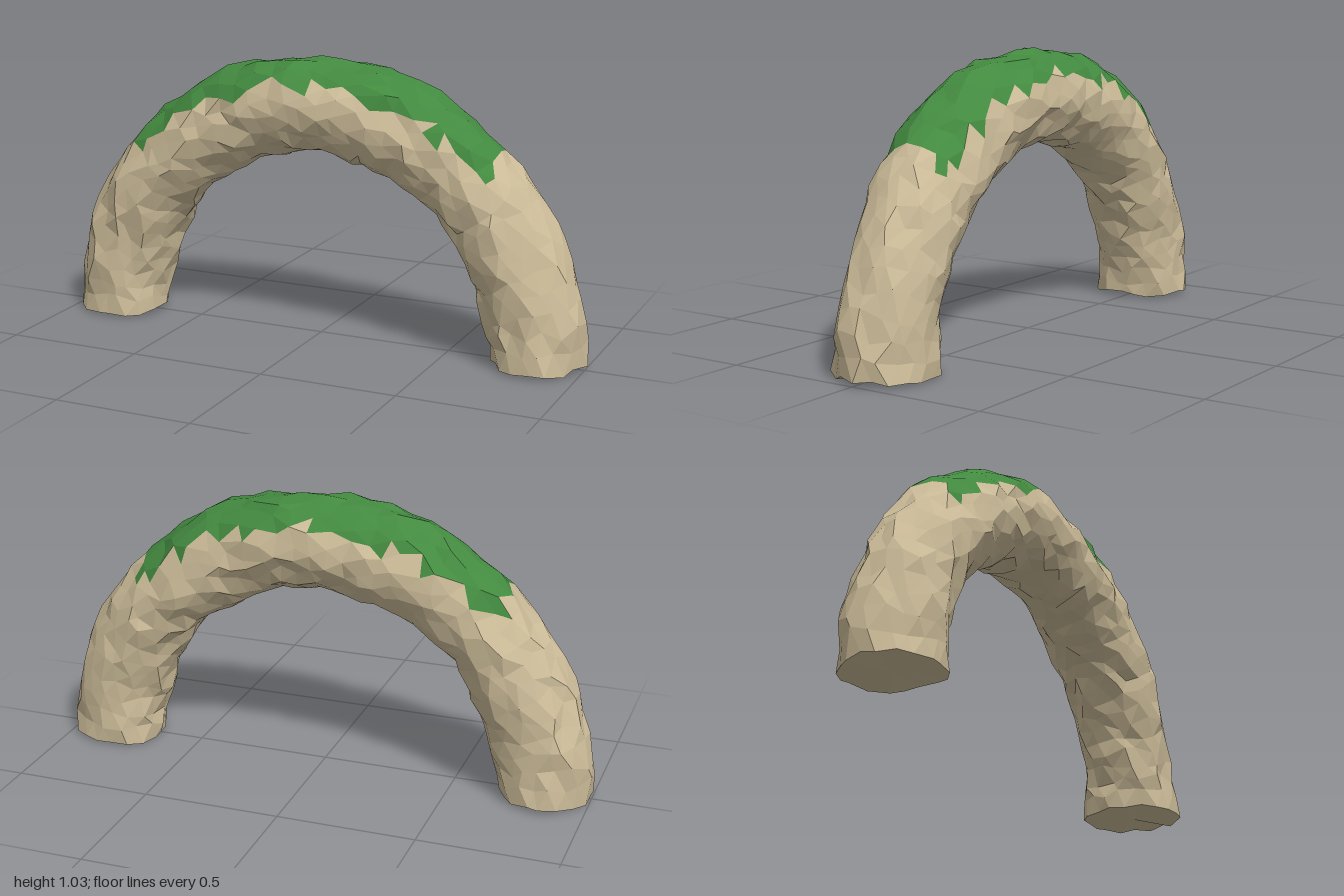
import * as THREE from 'three';

const SEGMENTS = 42, SIDES = 18;

// Small seeded random generator, giving -1..1
function makeRandom(seed) {
  return () => {
    seed = (seed * 1664525 + 1013904223) >>> 0;
    return seed / 2147483648 - 1;
  };
}

function facetedMesh(name, triangles, color) {
  const geometry = new THREE.BufferGeometry().setFromPoints(triangles.flat());
  geometry.computeVertexNormals();
  const mesh = new THREE.Mesh(geometry, new THREE.MeshStandardMaterial({ color, flatShading: true }));
  mesh.name = name;
  return mesh;
}

export function createModel() {
  const random = makeRandom(7);
  const rock = [], moss = [];

  // Rings of roughened points along a half-ellipse arch
  const rings = [];
  for (let i = 0; i <= SEGMENTS; i++) {
    const isEnd = i === 0 || i === SEGMENTS;
    const ring = [];
    for (let j = 0; j < SIDES; j++) {
      const t = ((i + (isEnd ? 0 : 0.3 * random())) / SEGMENTS) * Math.PI;
      const phi = ((j + 0.5 * (i % 2) + 0.25 * random()) / SIDES) * Math.PI * 2;
      const lump = 0.005 * Math.sin(7 * t + 2 * phi) + 0.004 * Math.sin(17 * t - 3 * phi);
      const r = 0.172 + lump + 0.01 * random();
      const out = r * Math.cos(phi);
      ring.push(new THREE.Vector3(
        Math.cos(t) * (0.828 + out),
        0.02 + Math.sin(t) * (0.842 + out) + (isEnd ? 0.012 * random() : 0),
        r * Math.sin(phi)
      ));
    }
    rings.push(ring);
  }

  // Moss covers the upward, outer side of the crown with a ragged edge
  function addTriangle(a, b, c) {
    const mid = new THREE.Vector3().add(a).add(b).add(c).divideScalar(3);
    const outward = Math.hypot(mid.x, mid.y) - 0.84;
    const mossy = Math.abs(mid.x) < 0.68 && outward > 0.105 + 0.018 * random();
    (mossy ? moss : rock).push([a, b, c]);
  }

  // Skin between neighbouring rings
  for (let i = 0; i < SEGMENTS; i++) {
    for (let j = 0; j < SIDES; j++) {
      const k = (j + 1) % SIDES;
      const a = rings[i][j], b = rings[i + 1][j], c = rings[i][k], d = rings[i + 1][k];
      if (i % 2) {
        addTriangle(a, b, d);
        addTriangle(a, d, c);
      } else {
        addTriangle(a, b, c);
        addTriangle(b, d, c);
      }
    }
  }

  // Caps under the two feet
  for (const side of [1, -1]) {
    const ring = rings[side > 0 ? 0 : SEGMENTS];
    const centre = new THREE.Vector3(side * 0.828, 0.018, 0);
    for (let j = 0; j < SIDES; j++) {
      const a = ring[j], b = ring[(j + 1) % SIDES];
      rock.push(side > 0 ? [centre, a, b] : [centre, b, a]);
    }
  }

  const group = new THREE.Group();
  group.name = 'rockArch';
  group.add(facetedMesh('stoneArch', rock, 0xcbbb98), facetedMesh('mossCover', moss, 0x438a40));
  return group;
}
